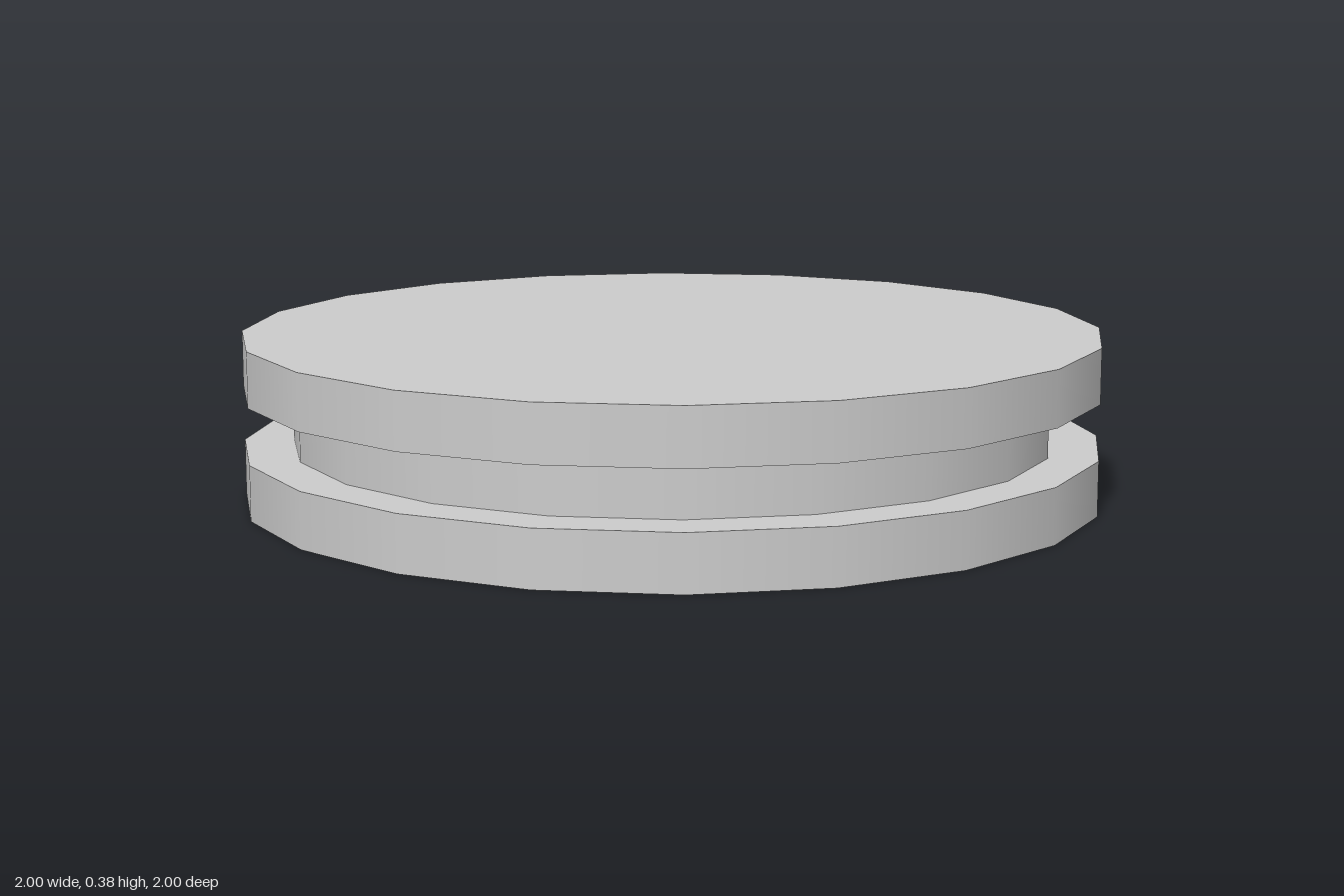
import * as THREE from 'three';

const SIDES = 20;

export function createModel() {
  const group = new THREE.Group();
  group.name = 'groovedDisc';
  const material = new THREE.MeshStandardMaterial({ color: 0xcccccc });

  // Smooth-sided disc spanning two heights
  function addDisc(name, radius, bottom, top, openEnded = false) {
    const geometry = new THREE.CylinderGeometry(radius, radius, top - bottom, SIDES, 1, openEnded);
    const mesh = new THREE.Mesh(geometry, material);
    mesh.name = name;
    mesh.position.y = (bottom + top) / 2;
    group.add(mesh);
  }

  // Two equal plates with a narrower core forming the groove
  addDisc('bottomPlate', 1, 0, 0.128);
  addDisc('core', 0.885, 0.128, 0.257, true);
  addDisc('topPlate', 1, 0.257, 0.385);

  return group;
}
